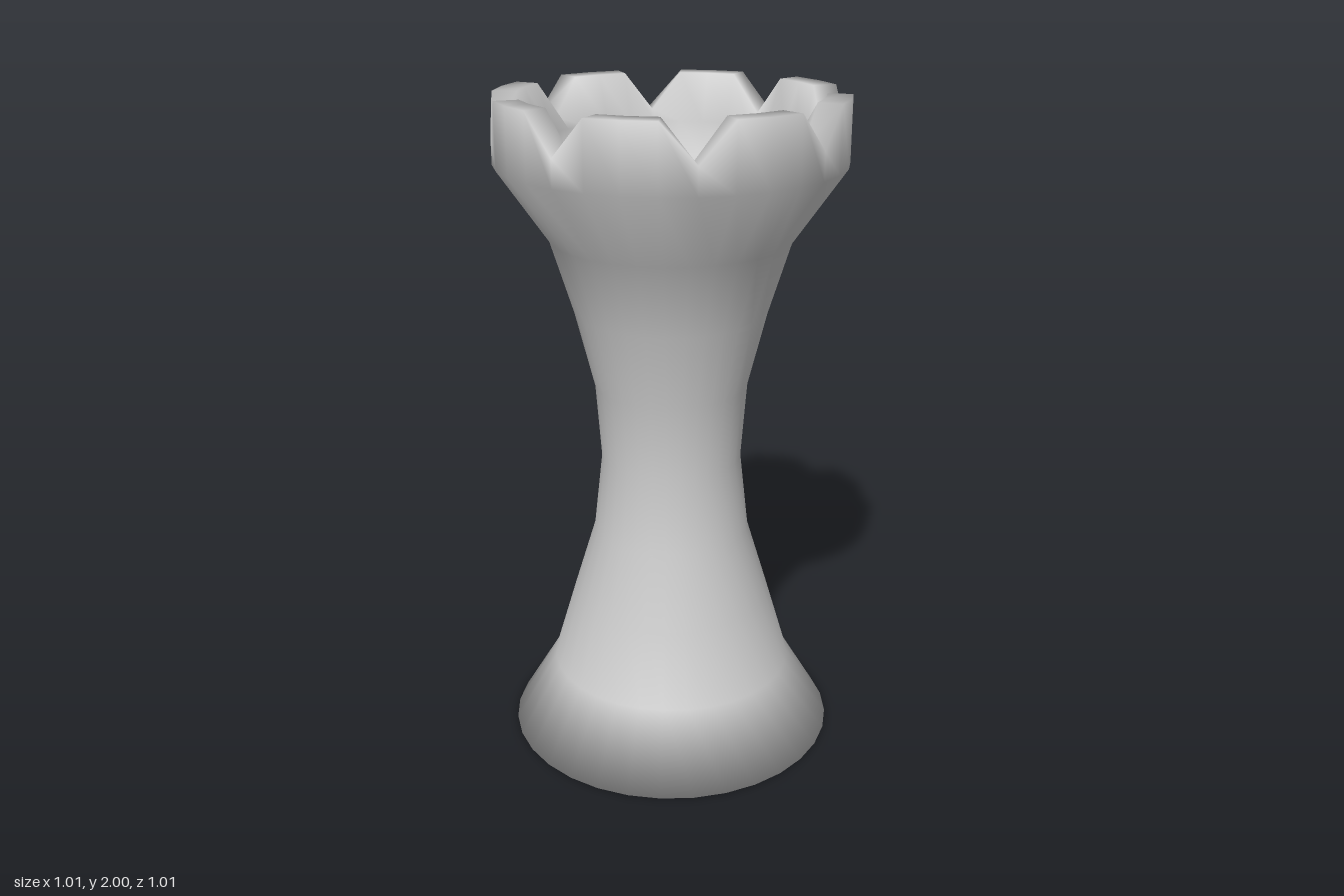
import * as THREE from 'three';
import { mergeVertices } from 'three/addons/utils/BufferGeometryUtils.js';

const SIDES = 32;
const NOTCH_EVERY = 4; // eight V notches round the crown
const NOTCH_DEPTH = 0.11;

// [radius, height] from the centre of the foot, up the outside, over the rim and into the cup
const PROFILE = [
  [0, 0], [0.507, 0], [0.375, 0.22], [0.307, 0.45], [0.24, 0.67], [0.213, 0.91],
  [0.23, 1.14], [0.287, 1.37], [0.355, 1.59], [0.507, 1.81],
  [0.507, 2], [0.435, 2], // rim, outer and inner edge
  [0.385, 1.86], [0.385, 1.75], [0, 1.75], // cup wall and floor
];

export function createModel() {
  const group = new THREE.Group();
  group.name = 'castlePiece';

  let geometry = new THREE.LatheGeometry(PROFILE.map(([r, y]) => new THREE.Vector2(r, y)), SIDES);
  const position = geometry.attributes.position;

  // Cut the crown by lowering every fourth pair of rim points
  for (let i = 0; i <= SIDES; i += NOTCH_EVERY) {
    PROFILE.forEach(([, y], j) => {
      if (y === 2) position.setY(i * PROFILE.length + j, y - NOTCH_DEPTH);
    });
  }

  // Weld the seam so the shading runs smoothly all round
  geometry.deleteAttribute('uv');
  geometry.deleteAttribute('normal');
  geometry = mergeVertices(geometry, 1e-4);
  geometry.computeVertexNormals();

  const body = new THREE.Mesh(geometry, new THREE.MeshStandardMaterial({ color: 0xcccccc }));
  body.name = 'notchedTower';
  group.add(body);
  return group;
}
